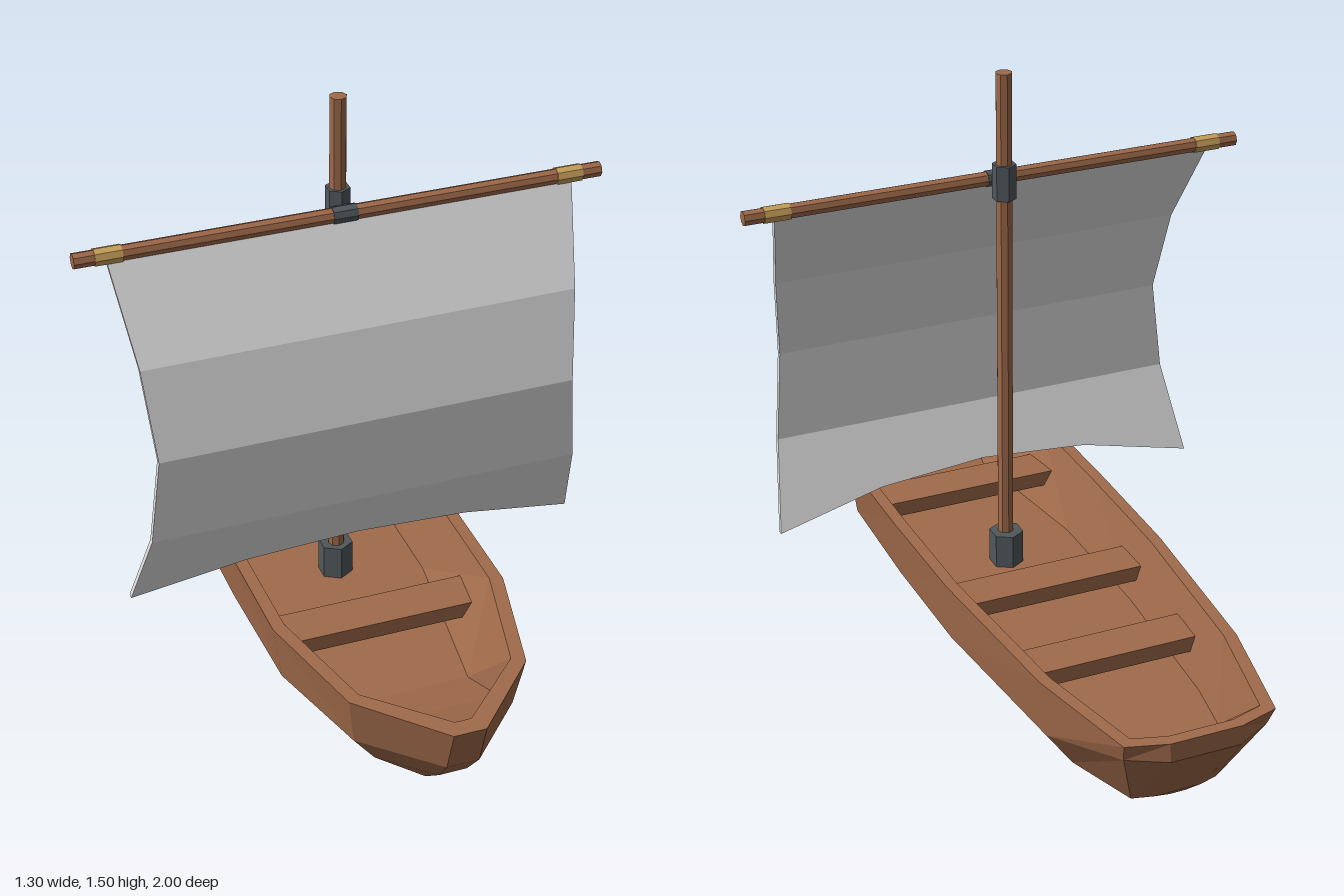
import * as THREE from 'three';

const mat = (name, color) => Object.assign(
  new THREE.MeshStandardMaterial({ color, flatShading: true }), { name });

// Skin equal closed loops of points; loop point i pairs with n-1-i to close both ends.
function loft(sections) {
  const n = sections[0].length, half = n / 2, pos = [];
  const quad = (a, b, c, d, flip) => {
    const tris = flip ? [a, b, d, b, c, d] : [a, b, c, a, c, d];
    tris.forEach(p => pos.push(...p));
  };
  for (let s = 0; s < sections.length - 1; s++) {
    const A = sections[s], B = sections[s + 1];
    for (let i = 0; i < n; i++) {
      const j = (i + 1) % n;
      quad(A[i], B[i], B[j], A[j], i >= half);
    }
  }
  const first = sections[0], last = sections[sections.length - 1];
  for (let k = 0; k < half - 1; k++) {
    quad(first[k], first[k + 1], first[n - 2 - k], first[n - 1 - k]);
    quad(last[n - 1 - k], last[n - 2 - k], last[k + 1], last[k]);
  }
  const g = new THREE.BufferGeometry();
  g.setAttribute('position', new THREE.Float32BufferAttribute(pos, 3));
  g.computeVertexNormals();
  return g;
}

export function createModel() {
  const boat = new THREE.Group();
  boat.name = 'sailingBoat';
  const wood = mat('wood', 0xa06a4a);
  const cloth = mat('sailcloth', 0xe0e0e0);
  const iron = mat('iron', 0x50585c);
  const rope = mat('rope', 0xc8a05a);

  const add = (name, geometry, material, x = 0, y = 0, z = 0) => {
    const m = new THREE.Mesh(geometry, material);
    m.name = name;
    m.position.set(x, y, z);
    boat.add(m);
    return m;
  };

  // Hull: half sections, bow to stern: keel, lower chine, upper chine, rim, inner rim, floor
  const halves = [
    [[.03, .05, .82], [.035, .13, .91], [.04, .2, .965], [.04, .32, 1], [.02, .32, .955], [.018, .29, .945]],
    [[.03, .04, .75], [.14, .1, .77], [.2, .185, .79], [.22, .32, .81], [.19, .32, .79], [.17, .2, .77]],
    [[.03, 0, .5], [.19, .08, .5], [.275, .175, .5], [.296, .32, .5], [.264, .32, .49], [.15, .16, .64]],
    [[.03, 0, .16], [.2, .075, .16], [.282, .17, .16], [.297, .32, .16], [.266, .32, .16], [.21, .16, .2]],
    [[.03, 0, -.18], [.2, .075, -.18], [.28, .17, -.18], [.292, .32, -.18], [.262, .32, -.18], [.21, .16, -.18]],
    [[.03, 0, -.65], [.17, .075, -.66], [.238, .17, -.66], [.255, .32, -.66], [.225, .32, -.65], [.18, .16, -.62]],
    [[.03, .08, -.865], [.11, .08, -.85], [.18, .27, -.95], [.19, .32, -.97], [.163, .32, -.945], [.155, .16, -.77]],
    [[.02, .08, -.87], [.06, .085, -.87], [.088, .27, -1], [.09, .32, -1], [.08, .32, -.97], [.12, .16, -.8]],
  ];
  add('hull', loft(halves.map(h =>
    [...h, ...[...h].reverse().map(([x, y, z]) => [-x, y, z])])), wood);

  // Bench seats
  for (const [z, w] of [[-.475, .44], [-.125, .48], [.425, .48]])
    add('bench', new THREE.BoxGeometry(w, .04, .11), wood, 0, .23, z);

  // Mast with its foot and collar
  const mastZ = .13;
  add('mast', new THREE.CylinderGeometry(.021, .021, 1.35, 8), wood, 0, .825, mastZ);
  add('mastFoot', new THREE.CylinderGeometry(.044, .044, .09, 6), iron, 0, .205, mastZ - .005);
  add('mastCollar', new THREE.CylinderGeometry(.03, .03, .09, 6), iron, 0, 1.222, mastZ);

  // Yard with centre clamp and lashings
  const bar = (name, r, len, material, x) => {
    add(name, new THREE.CylinderGeometry(r, r, len, 8), material, x, 1.217, .172).rotation.z = Math.PI / 2;
  };
  bar('yard', .019, 1.3, wood, 0);
  bar('yardClamp', .0215, .06, iron, 0);
  for (const side of [-1, 1]) bar('lashing', .0215, .065, rope, side * .568);

  // Sail: rows of [half width, height, depth]; the foot is arched
  const rows = [[.573, 1.205, .185], [.54, .98, .305], [.52, .76, .362], [.54, .53, .347], [.573, .31, .255]];
  const columns = [-1, -.5, 0, .5, 1];
  const foot = [.31, .37, .39, .37, .31];
  add('sail', loft(rows.map(([w, y, z], r) => {
    const front = columns.map((c, i) => {
      const py = r === 4 ? foot[i] : y;
      return [c * w, py, z + (y === py ? 0 : (py - y) * .42)];
    });
    const back = [...front].reverse().map(([px, py, pz]) => [px, py, pz - .015]);
    return [...front, ...back];
  })), cloth);

  return boat;
}
